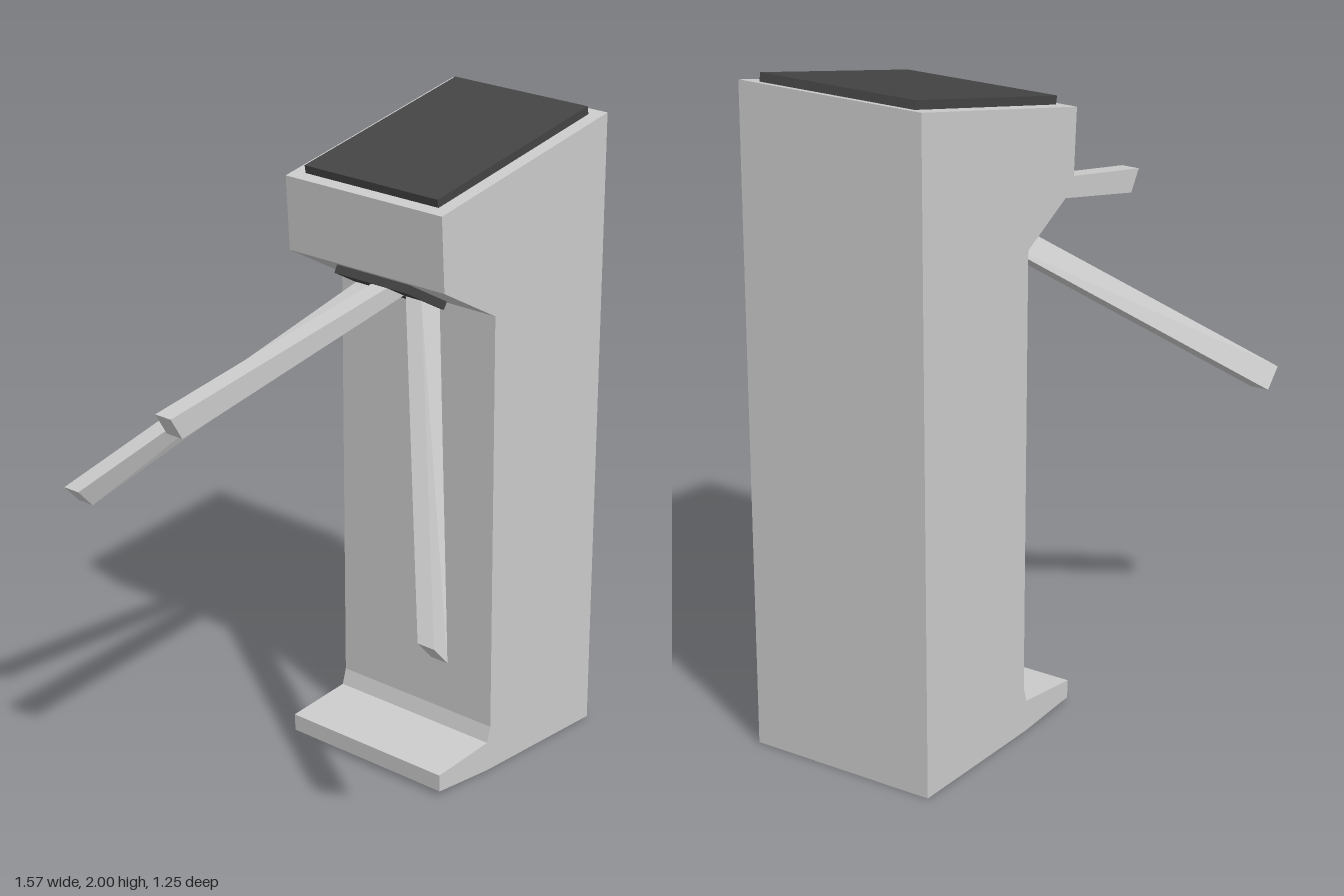
import * as THREE from 'three';

const grey = new THREE.MeshStandardMaterial({ color: 0xcccccc, flatShading: true });
const dark = new THREE.MeshStandardMaterial({ color: 0x444444, flatShading: true });

function add(group, name, geometry, material) {
  const mesh = new THREE.Mesh(geometry, material);
  mesh.name = name;
  group.add(mesh);
  return mesh;
}

// Four-sided bar; tip and root are each [xTop, yTop, xBottom, yBottom, zMin]
function barGeometry(tip, root, width) {
  const geometry = new THREE.BoxGeometry(1, 1, 1);
  const pos = geometry.attributes.position;
  for (let i = 0; i < pos.count; i++) {
    const end = pos.getX(i) > 0 ? root : tip;
    const k = pos.getY(i) > 0 ? 0 : 2;
    pos.setXYZ(i, end[k], end[k + 1], end[4] + (pos.getZ(i) > 0 ? width : 0));
  }
  geometry.computeVertexNormals();
  return geometry;
}

export function createModel() {
  const group = new THREE.Group();
  group.name = 'turnstile';

  // Cabinet: side profile with overhanging head and foot
  const profile = [
    [0.785, 0], [0.785, 1.98], [0.045, 1.83], [0.06, 1.6], [0.287, 1.475],
    [0.302, 0.145], [0.288, 0.095], [0.065, 0.07], [0.068, 0.015], [0.29, 0],
  ].map(([x, y]) => new THREE.Vector2(x, y));
  const body = new THREE.ExtrudeGeometry(new THREE.Shape(profile), { depth: 0.6, bevelEnabled: false });
  body.translate(0, 0, -0.3);
  add(group, 'cabinet', body, grey);

  // Sloping top panel
  const panel = add(group, 'topPanel', new THREE.BoxGeometry(0.683, 0.027, 0.51), dark);
  panel.position.set(0.415, 1.917, 0);
  panel.rotation.z = Math.atan2(0.15, 0.74);

  // Hub plate under the head
  const hub = add(group, 'hubPlate', new THREE.BoxGeometry(0.19, 0.034, 0.28), dark);
  hub.position.set(0.171, 1.529, 0);
  hub.rotation.z = Math.atan2(-0.125, 0.227);

  // Three barrier arms spreading from the hub
  const arms = [
    ['middleArm', [-0.785, 1.4, -0.743, 1.332, 0], [0.09, 1.557, 0.165, 1.517, 0]],
    ['backArm', [-0.565, 0.943, -0.51, 0.885, -0.63], [0.17, 1.515, 0.245, 1.475, -0.13]],
    ['frontArm', [-0.345, 0.742, -0.287, 0.68, 0.565], [0.168, 1.515, 0.25, 1.474, 0.06]],
  ];
  for (const [name, tip, root] of arms) add(group, name, barGeometry(tip, root, 0.06), grey);

  return group;
}
